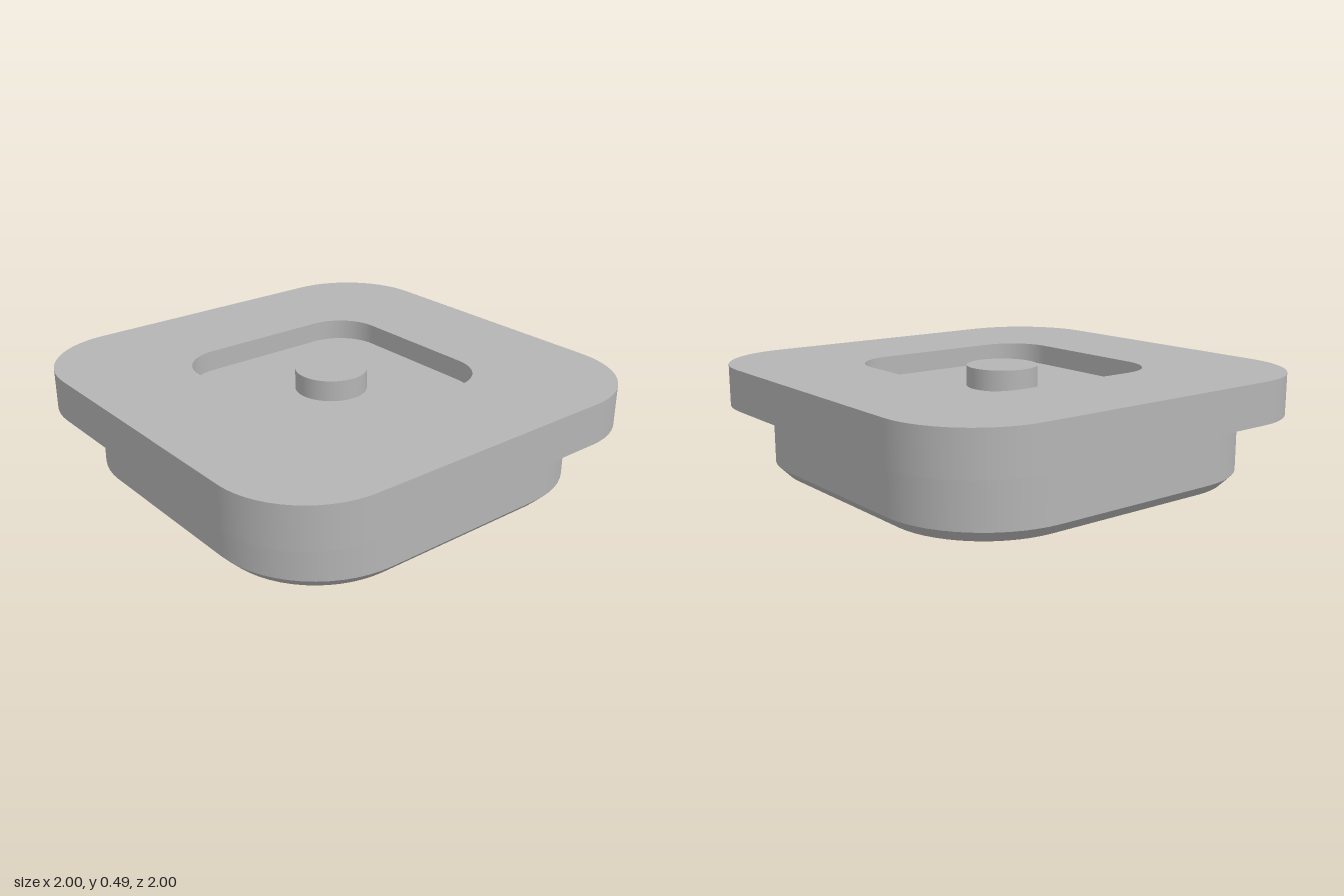
import * as THREE from 'three';

const STEPS = 14; // segments per rounded corner

// Outline of a rounded square: points and outward normals.
function outline(half, radius) {
  const pts = [];
  for (let q = 0; q < 4; q++) {
    const mid = (q + 0.5) * Math.PI / 2;
    const cx = Math.sign(Math.cos(mid)) * (half - radius);
    const cz = Math.sign(Math.sin(mid)) * (half - radius);
    for (let i = 0; i <= STEPS; i++) {
      const a = (q + i / STEPS) * Math.PI / 2;
      const nx = Math.cos(a), nz = Math.sin(a);
      pts.push({ x: cx + radius * nx, z: cz + radius * nz, nx, nz });
    }
  }
  pts.push(pts[0]);
  return pts;
}

// Loft through [half, radius, y] rings, with a sharp edge at every ring.
function loft(name, rings, material) {
  const pos = [], nor = [], idx = [];
  for (let k = 0; k + 1 < rings.length; k++) {
    const [h0, r0, y0] = rings[k];
    const [h1, r1, y1] = rings[k + 1];
    const len = Math.hypot(y1 - y0, h1 - h0);
    const out = (y1 - y0) / len, up = (h0 - h1) / len;
    const start = pos.length / 3;
    const lower = outline(h0, r0), upper = outline(h1, r1);
    const n = lower.length;
    for (const [loop, y] of [[lower, y0], [upper, y1]]) {
      for (const p of loop) {
        pos.push(p.x, y, p.z);
        nor.push(p.nx * out, up, p.nz * out);
      }
    }
    for (let j = 0; j + 1 < n; j++) {
      const a = start + j, b = a + 1, c = a + n, d = c + 1;
      idx.push(a, c, b, b, c, d);
    }
  }
  const geo = new THREE.BufferGeometry();
  geo.setAttribute('position', new THREE.Float32BufferAttribute(pos, 3));
  geo.setAttribute('normal', new THREE.Float32BufferAttribute(nor, 3));
  geo.setIndex(idx);
  const mesh = new THREE.Mesh(geo, material);
  mesh.name = name;
  return mesh;
}

export function createModel() {
  const grey = new THREE.MeshStandardMaterial({ color: 0xb4b4b4 });
  grey.name = 'grey';
  const group = new THREE.Group();
  group.name = 'steppedPlug';

  const top = 0.49, floor = 0.397, shelf = 0.305, groove = 0.045;

  group.add(
    // Raised pad on the underside, flush with the base rim
    loft('basePad', [[0, 0, 0], [0.54, 0.19, 0], [0.54, 0.19, groove]].map((r, i) => r), grey),
    // Groove around the pad
    loft('baseGroove', [[0.54, 0.19, groove], [0.725, 0.31, groove], [0.725, 0.31, 0]]
      .map((r) => r), grey),
    // Lower body with chamfered foot
    loft('lowerBody', [[0.725, 0.31, 0], [0.825, 0.415, 0], [0.875, 0.465, 0.05],
      [0.875, 0.465, shelf]], grey),
    // Wide flange and the walls of its recess
    loft('flange', [[0.875, 0.465, shelf], [1, 0.4, shelf], [1, 0.4, top],
      [0.5, 0.2, top], [0.5, 0.2, floor]], grey),
    // Recess floor
    loft('recessFloor', [[0.5, 0.2, floor], [0.16, 0.16, floor]], grey),
    // Round boss in the recess
    loft('centreBoss', [[0.16, 0.16, floor], [0.16, 0.16, top], [0, 0, top]], grey),
  );
  return group;
}
